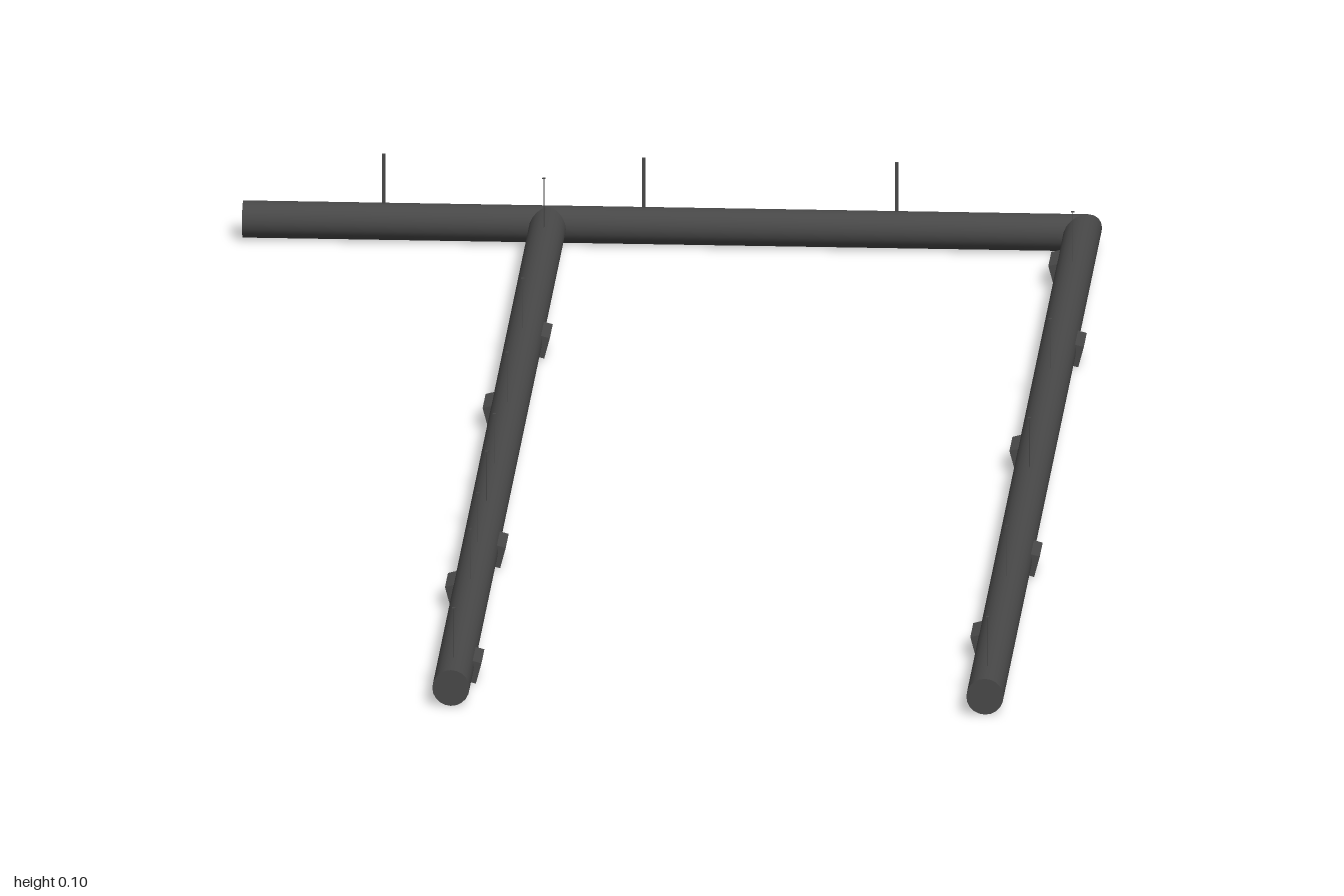
import * as THREE from 'three';

const R = 0.022;
const dark = new THREE.MeshStandardMaterial({ color: 0x484848, side: THREE.DoubleSide });

// Round pipe along local z from z0 to z1; miter = +1/-1 cuts the z0 end at 45 degrees
function pipe(name, z0, z1, miter = 0) {
  const g = new THREE.CylinderGeometry(R, R, z1 - z0, 20);
  g.rotateX(Math.PI / 2).translate(0, R, (z0 + z1) / 2);
  const p = g.attributes.position;
  for (let i = 0; i < p.count; i++) {
    if (p.getZ(i) < z0 + 1e-4) p.setZ(i, z0 + miter * p.getX(i));
  }
  const m = new THREE.Mesh(g, dark);
  m.name = name;
  return m;
}

// Small block on the flank of a pipe, its outer face leaning downwards
function bracket(side, z) {
  const m = new THREE.Mesh(new THREE.BoxGeometry(0.018, 0.026, 0.06), dark);
  m.position.set(side * 0.019, 0.0165, z);
  m.rotation.z = -side * 0.26;
  m.name = 'bracket';
  return m;
}

// Paper-thin upright strip with a tiny flat tip
function marker(z) {
  const g = new THREE.Group();
  g.name = 'marker';
  const stem = new THREE.Mesh(new THREE.BoxGeometry(0.0005, 0.083, 0.004), dark);
  stem.position.set(0, R + 0.0415, z);
  stem.name = 'markerStem';
  const tip = new THREE.Mesh(new THREE.BoxGeometry(0.004, 0.0008, 0.004), dark);
  tip.position.set(0, 0.1046, z);
  tip.name = 'markerTip';
  g.add(stem, tip);
  return g;
}

// A pipe with its brackets ([side, z]) and markers (z)
function rail(name, z0, z1, miter, brackets, markers) {
  const g = new THREE.Group();
  g.name = name;
  g.add(pipe(name + 'Pipe', z0, z1, miter));
  for (const [s, z] of brackets) g.add(bracket(s, z));
  for (const z of markers) g.add(marker(z));
  return g;
}

export function createModel() {
  const model = new THREE.Group();
  model.name = 'pipeFrame';

  // Long rail that meets the cross rail in a T
  const inner = rail('innerRail', -0.97, 1, 0,
    [[1, -0.5], [1, 0.39], [1, 0.88], [-1, -0.2], [-1, 0.56]],
    [0.945, 0.61, 0.455, 0.28, 0.12, -0.14, -0.455, -0.88]);
  inner.position.x = -0.153;

  // Long rail that meets the cross rail in a mitred corner
  const outer = rail('outerRail', -0.97, 1, -1,
    [[1, -0.5], [1, 0.39], [-1, -0.84], [-1, -0.055], [-1, 0.735]],
    [0.945, 0.56, 0.1, -0.32, -0.775]);
  outer.position.x = 0.48;

  // Cross rail at the back: local z runs towards -x, local x towards +z
  const cross = rail('crossRail', -0.48, 0.515, 1,
    [[-1, 0.26], [-1, -0.18]],
    [0.348, 0.04, -0.26]);
  cross.rotation.y = -Math.PI / 2;
  cross.position.z = -0.97;

  model.add(inner, outer, cross);
  return model;
}
